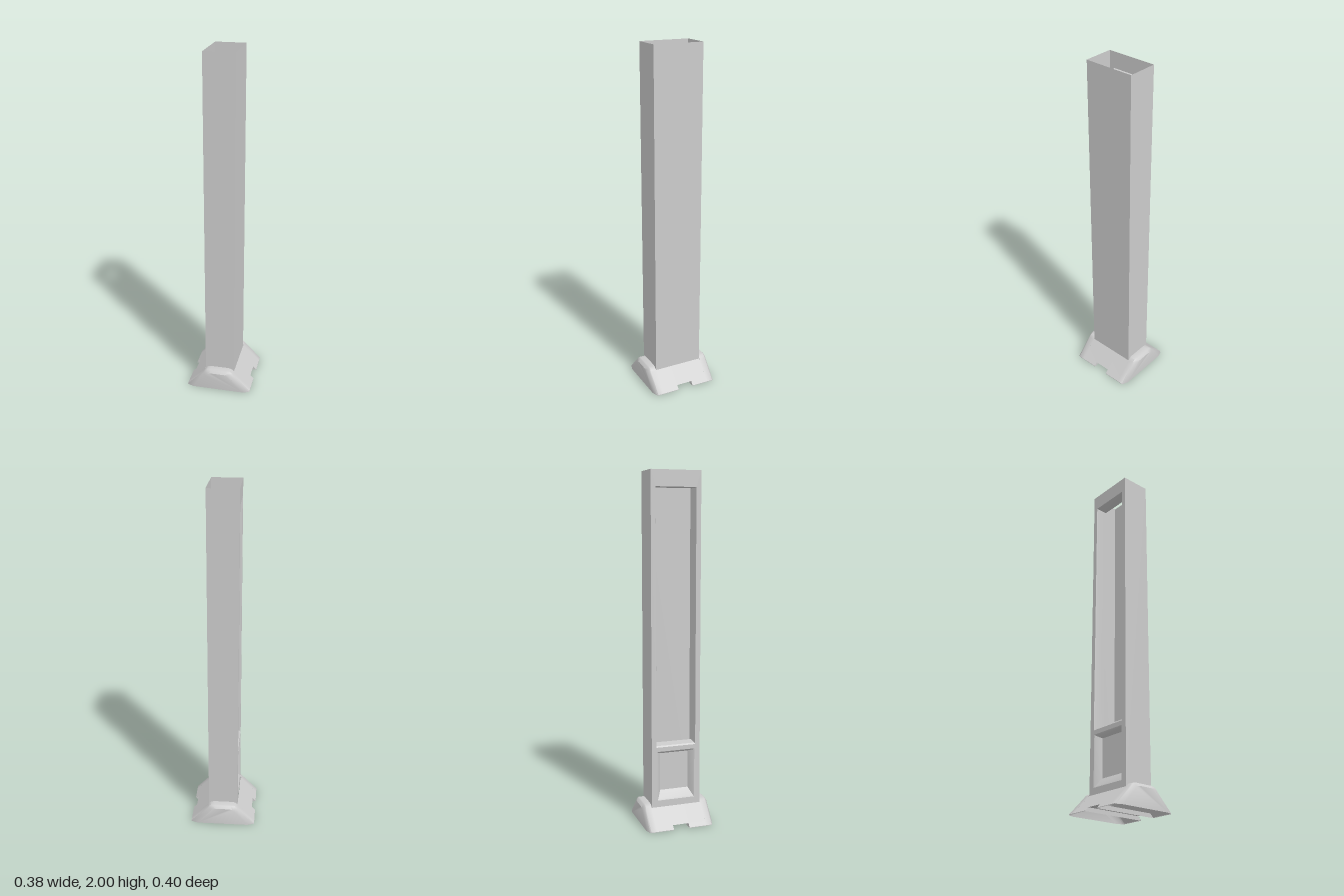
import * as THREE from 'three';
import { toCreasedNormals } from 'three/addons/utils/BufferGeometryUtils.js';

const W = 0.086, D = 0.145, TOP = 2, FOOT = 0.095; // tube half width, half depth, top and bottom
const mat = new THREE.MeshStandardMaterial({ color: 0xcccccc, side: THREE.DoubleSide });

function add(group, name, geo) {
  const m = new THREE.Mesh(geo, mat);
  m.name = name;
  group.add(m);
}

// Joins equal-length rows of [x, y, z] points into a sheet; closed rows wrap round
function loft(rows, { closed = false, cap = false } = {}) {
  const n = rows[0].length, idx = [];
  for (let r = 0; r < rows.length - 1; r++)
    for (let i = 0; i < (closed ? n : n - 1); i++) {
      const a = r * n + i, b = r * n + (i + 1) % n;
      idx.push(a, b, b + n, a, b + n, a + n);
    }
  const last = (rows.length - 1) * n;
  if (cap) for (let i = 1; i < n - 1; i++) idx.push(last, last + i, last + i + 1);
  const geo = new THREE.BufferGeometry();
  geo.setAttribute('position', new THREE.Float32BufferAttribute(rows.flat(2), 3));
  geo.setIndex(idx);
  return toCreasedNormals(geo, 0.65);
}

// Rectangle in the z-y plane at a given x
const rect = (x, hz, y0, y1) => [[x, y0, -hz], [x, y0, hz], [x, y1, hz], [x, y1, -hz]];

// Symmetric foot profile from its +x half, placed at depth z
const profile = (half, z) => [
  ...half.map(([x, y]) => [x, y, z]),
  ...[...half].reverse().map(([x, y]) => [-x, y, z]),
];

function makeTube() {
  const tube = new THREE.Group();
  tube.name = 'tube';
  const h = TOP - FOOT, cy = (TOP + FOOT) / 2;
  add(tube, 'frontWall', new THREE.PlaneGeometry(2 * W, h).translate(0, cy, D));
  add(tube, 'backWall', new THREE.PlaneGeometry(2 * W, h).rotateY(Math.PI).translate(0, cy, -D));
  add(tube, 'leftWall', new THREE.PlaneGeometry(2 * D, h).rotateY(Math.PI / 2).translate(W, cy, 0));

  // Right wall with a tall window and a small one below it
  const tall = { hz: 0.117, y0: 0.46, y1: 1.91 };
  const small = { hz: 0.112, y0: 0.145, y1: 0.435 };
  const wall = new THREE.Shape([[-D, FOOT], [D, FOOT], [D, TOP], [-D, TOP]].map(p => new THREE.Vector2(...p)));
  for (const o of [tall, small])
    wall.holes.push(new THREE.Path([[-o.hz, o.y0], [-o.hz, o.y1], [o.hz, o.y1], [o.hz, o.y0]].map(p => new THREE.Vector2(...p))));
  add(tube, 'rightWall', new THREE.ShapeGeometry(wall).rotateY(-Math.PI / 2).translate(-W, 0, 0));

  // Deep frame behind the tall window, open into the tube
  add(tube, 'windowFrame', loft([
    rect(-W, tall.hz, tall.y0, tall.y1),
    rect(-W + 0.006, tall.hz - 0.002, tall.y0 + 0.008, tall.y1 - 0.003),
    rect(-0.018, tall.hz - 0.002, tall.y0 + 0.012, tall.y1 - 0.003),
  ], { closed: true }));

  // Shallow tapered recess behind the small window
  add(tube, 'smallRecess', loft([
    rect(-W, small.hz, small.y0, small.y1),
    rect(-W + 0.004, small.hz - 0.006, small.y0 + 0.008, small.y1 - 0.006),
    rect(-0.05, small.hz - 0.028, small.y0 + 0.05, small.y1 - 0.02),
  ], { closed: true, cap: true }));
  return tube;
}

function makeFoot() {
  const foot = new THREE.Group();
  foot.name = 'foot';
  const full = [[0.19, 0], [0.19, 0.003], [0.093, 0.102], [0.083, 0.114], [0.07, 0.122], [0.05, 0.125]];
  const mid = [[0.184, 0], [0.184, 0.003], [0.09, 0.099], [0.08, 0.111], [0.067, 0.118], [0.048, 0.121]];
  const end = [[0.15, 0], [0.15, 0.003], [0.075, 0.086], [0.067, 0.096], [0.057, 0.103], [0.042, 0.107]];
  const hole = 0.147, notch = 0.047, ny = 0.022, nx = 0.171;

  // Hollow bevelled ends, open underneath
  for (const s of [1, -1])
    add(foot, s > 0 ? 'frontEnd' : 'backEnd', loft([
      profile(full, s * hole), profile(full, s * 0.181), profile(mid, s * 0.187), profile(end, s * 0.199),
    ], { cap: true }));

  // Sloping side sheets, notched at the bottom in the middle
  const side = [[0.19, 0], [0.19, 0.003], [nx, ny], [0.088, 0.107]];
  for (const s of [1, -1]) {
    const strip = (pts, z0, z1) => loft([z0, z1].map(z => pts.map(([x, y]) => [s * x, y, z])));
    const name = s > 0 ? 'leftSlope' : 'rightSlope';
    add(foot, name, strip(side, notch, hole));
    add(foot, name, strip(side, -hole, -notch));
    add(foot, name, strip(side.slice(2), -notch, notch));
  }

  // Channel running across the foot between the notches
  add(foot, 'channel', loft([-1, 1].map(s => [
    [s * 0.19, 0, -notch], [s * nx, ny, -notch], [s * nx, ny, notch], [s * 0.19, 0, notch],
  ])));
  return foot;
}

export function createModel() {
  const model = new THREE.Group();
  model.name = 'columnOnFoot';
  model.add(makeTube(), makeFoot());
  return model;
}
